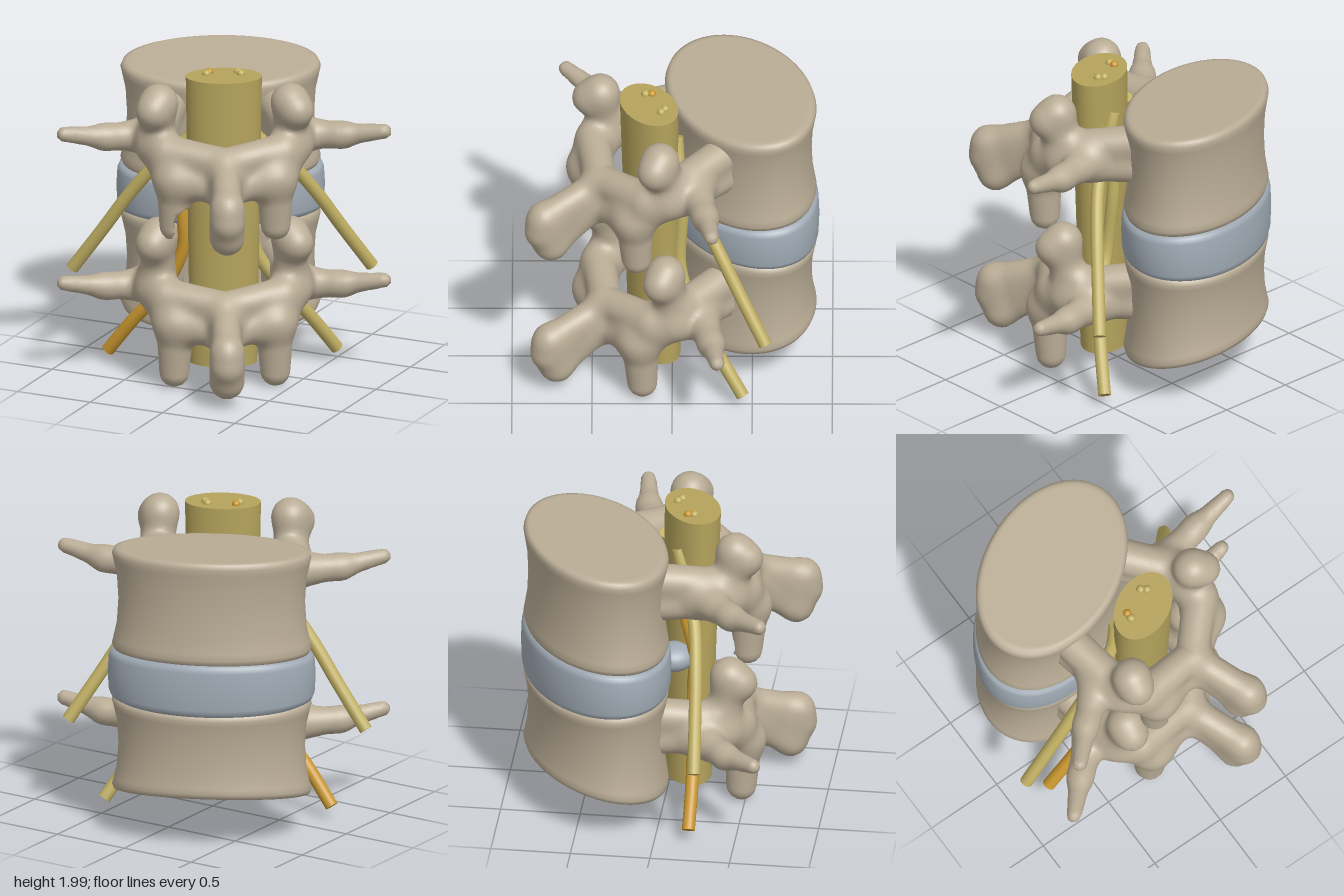
import * as THREE from 'three';
import { mergeVertices, mergeGeometries } from 'three/addons/utils/BufferGeometryUtils.js';

const material = (name, color) => {
  const m = new THREE.MeshStandardMaterial({ color });
  m.name = name;
  return m;
};

function add(parent, name, geometry, mat) {
  const mesh = new THREE.Mesh(geometry, mat);
  mesh.name = name;
  parent.add(mesh);
  return mesh;
}

// Distance to one tapering limb [x, y, z, radius, x, y, z, radius].
function limbDistance([ax, ay, az, ar, bx, by, bz, br], x, y, z) {
  const ex = bx - ax, ey = by - ay, ez = bz - az;
  const px = x - ax, py = y - ay, pz = z - az;
  const t = Math.min(1, Math.max(0, (px * ex + py * ey + pz * ez) / (ex * ex + ey * ey + ez * ez)));
  return Math.hypot(px - ex * t, py - ey * t, pz - ez * t) - ar - (br - ar) * t;
}

// Limbs mirrored in x that melt together, with one-sided cuts taken out.
function boneDistance(limbs, cuts, x, y, z) {
  const k = 0.07;
  let d = 9;
  for (const limb of limbs) {
    const e = limbDistance(limb, Math.abs(x), y, z);
    const h = Math.max(k - Math.abs(d - e), 0) / k;
    d = Math.min(d, e) - h * h * k / 4;
  }
  for (const cut of cuts) d = Math.max(d, -limbDistance(cut, x, y, z));
  return d;
}

// Skins a distance function with quads, one vertex per crossed grid cell.
function skin(field, min, max, step) {
  const n = min.map((v, i) => Math.ceil((max[i] - v) / step) + 1);
  const stride = [1, n[0], n[0] * n[1]];
  const values = new Float32Array(n[0] * n[1] * n[2]);
  const cells = new Int32Array(values.length).fill(-1);
  const positions = [], normals = [], index = [];
  const each = (from, fn) => {
    for (let k = from; k < n[2] - 1; k++)
      for (let j = from; j < n[1] - 1; j++)
        for (let i = from; i < n[0] - 1; i++) fn([i, j, k], i + j * stride[1] + k * stride[2]);
  };
  for (let q = 0; q < values.length; q++) {
    const i = q % n[0], j = Math.floor(q / n[0]) % n[1], k = Math.floor(q / stride[2]);
    values[q] = field(min[0] + i * step, min[1] + j * step, min[2] + k * step);
  }
  each(0, (cell, q) => {
    const sum = [0, 0, 0];
    let count = 0;
    for (let c = 0; c < 8; c++) {
      const o = [c & 1, (c >> 1) & 1, c >> 2];
      const corner = q + o[0] + o[1] * stride[1] + o[2] * stride[2];
      const a = values[corner];
      for (let axis = 0; axis < 3; axis++) {
        if (o[axis]) continue;
        const b = values[corner + stride[axis]];
        if ((a < 0) === (b < 0)) continue;
        o.forEach((v, m) => { sum[m] += v + (m === axis ? a / (a - b) : 0); });
        count++;
      }
    }
    if (!count) return;
    cells[q] = positions.length / 3;
    const p = cell.map((v, m) => min[m] + (v + sum[m] / count) * step);
    const e = 0.008;
    const g = [0, 1, 2].map((m) => {
      const hi = p.slice(), lo = p.slice();
      hi[m] += e;
      lo[m] -= e;
      return field(...hi) - field(...lo);
    });
    const l = Math.hypot(...g) || 1;
    positions.push(...p);
    normals.push(...g.map((v) => v / l));
  });
  each(1, (cell, q) => {
    for (let a = 0; a < 3; a++) {
      const inside = values[q] < 0;
      if (inside === (values[q + stride[a]] < 0)) continue;
      const sb = stride[(a + 1) % 3], sc = stride[(a + 2) % 3];
      const f = [q, q - sb, q - sb - sc, q - sc].map((c) => cells[c]);
      if (!inside) f.reverse();
      index.push(f[0], f[1], f[2], f[0], f[2], f[3]);
    }
  });
  const geometry = new THREE.BufferGeometry();
  geometry.setAttribute('position', new THREE.Float32BufferAttribute(positions, 3));
  geometry.setAttribute('normal', new THREE.Float32BufferAttribute(normals, 3));
  geometry.setIndex(index);
  return geometry;
}

// Oval drum whose end planes are given as [height, slope along z].
function drum(profile, a, b, bottom, top) {
  const points = profile.map(([r, t]) => new THREE.Vector2(r, t));
  let geometry = new THREE.LatheGeometry(points, 72);
  const p = geometry.attributes.position;
  for (let i = 0; i < p.count; i++) {
    const x = p.getX(i) * a, z = p.getZ(i) * b, t = p.getY(i);
    const lo = bottom[0] + bottom[1] * z, hi = top[0] + top[1] * z;
    p.setXYZ(i, x, lo + (hi - lo) * t, z - 0.505);
  }
  geometry.deleteAttribute('uv');
  geometry.deleteAttribute('normal');
  geometry = mergeVertices(geometry, 1e-5);
  geometry.computeVertexNormals();
  return geometry;
}

// Round strand along a smooth path with both ends closed.
function strand(points, radius) {
  const curve = new THREE.CatmullRomCurve3(points.map((p) => new THREE.Vector3(...p)));
  const caps = [0, 1].map((t) => {
    const cap = new THREE.CircleGeometry(radius, 14);
    const out = curve.getTangent(t).multiplyScalar(t ? 1 : -1);
    cap.applyQuaternion(new THREE.Quaternion().setFromUnitVectors(new THREE.Vector3(0, 0, 1), out));
    return cap.translate(...curve.getPoint(t).toArray());
  });
  return mergeGeometries([new THREE.TubeGeometry(curve, 40, radius, 14), ...caps]);
}

export function createModel() {
  const model = new THREE.Group();
  model.name = 'spineSegment';
  const bone = material('bone', 0xbaad96);
  const discBlue = material('disc', 0xa1abb5);
  const cordYellow = material('cord', 0xb5a35c);
  const nerveYellow = material('nerve', 0xbfae62);
  const nerveOrange = material('irritatedNerve', 0xc8962f);

  // Everything is built upright and symmetric, then turned on the base.
  const spine = new THREE.Group();
  spine.name = 'spine';
  spine.rotation.y = 0.474;
  spine.position.set(-0.045, 0, 0.023);
  model.add(spine);

  // Vertebrae: waisted body plus a blended arch with its wings and joints
  const bodyProfile = [[0, 0], [0.9, 0], [0.94, 0.003], [0.98, 0.015], [1, 0.06], [0.985, 0.12], [0.95, 0.27],
    [0.935, 0.5], [0.95, 0.73], [0.985, 0.88], [1, 0.94], [0.98, 0.985], [0.94, 0.997], [0.9, 1], [0, 1]];
  const vertebrae = [
    { name: 'upper', dy: 0, dz: 0, facet: 1.838, wing: 1.62, foot: 1.07, bottom: [1.2, -0.06], top: [1.87, -0.08],
      cuts: [[-0.22, 1.1, 0.6, 0.1, -0.22, 1.1, 0.2, 0.1], [-0.22, 1.0, 0.6, 0.1, -0.22, 1.0, 0.2, 0.1]] },
    { name: 'lower', dy: -0.955, dz: -0.04, facet: 0.953, wing: 0.63, foot: 0.1, bottom: [0.27, -0.2], top: [0.91, 0.03],
      cuts: [] },
  ];
  for (const v of vertebrae) {
    add(spine, v.name + 'VertebralBody', drum(bodyProfile, 0.625, 0.425, v.bottom, v.top), bone);
    const y = v.dy, f = v.facet, w = v.wing;
    const limbs = [
      [0.32, 1.68 + y, -0.22, 0.11, 0.42, 1.63 + y, 0.14, 0.11], // pedicle
      [0.32, 1.52 + y, -0.22, 0.11, 0.42, 1.52 + y, 0.14, 0.11],
      [0.46, w - 0.06, 0.05, 0.12, 0.74, w - 0.05, 0.12, 0.072], // side wing
      [0.74, w - 0.05, 0.12, 0.072, 1.0, w, 0.21, 0.048],
      [0.41, f, 0.27, 0.105, 0.42, 1.56 + y, 0.22, 0.11], // upper joint
      [0.41, f, 0.27, 0.105, 0.45, f - 0.04, 0.33, 0.105],
      [0.42, 1.54 + y, 0.24, 0.12, 0.31, 1.38 + y, 0.4, 0.12],
      [0.31, 1.38 + y, 0.4, 0.12, 0.315, v.foot, 0.385, 0.095], // lower joint
      [0.36, 1.54 + y, 0.35, 0.11, 0, 1.5 + y, 0.48, 0.1], // lamina
      [0.31, 1.38 + y, 0.4, 0.11, 0, 1.34 + y, 0.5, 0.1],
      [0, 1.47 + y, 0.5, 0.09, 0, 1.35 + y, 0.87, 0.085], // spine blade
      [0, 1.38 + y, 0.5, 0.085, 0, 1.24 + y, 0.9, 0.095],
      [0, 1.31 + y, 0.52, 0.085, 0, 1.125 + y, 0.82, 0.09],
      [0, 1.33 + y, 0.88, 0.09, 0, 1.13 + y, 0.83, 0.095],
    ];
    const geometry = skin((a, b, c) => boneDistance(limbs, v.cuts, a, b, c),
      [-1.12, 0.9 + y, -0.46], [1.12, 2.06 + y, 1.08], 0.026);
    add(spine, v.name + 'VertebralArch', geometry, bone).position.z = v.dz;
  }

  // Disc with a bulge towards one nerve root
  const discProfile = [[0, 0], [0.93, 0], [0.98, 0.05], [1, 0.15], [1.01, 0.5], [1, 0.85], [0.98, 0.95], [0.93, 1], [0, 1]];
  add(spine, 'disc', drum(discProfile, 0.645, 0.435, [0.9, 0.03], [1.21, -0.06]), discBlue);
  const bulge = add(spine, 'discBulge', new THREE.SphereGeometry(1, 32, 20), discBlue);
  bulge.scale.set(0.12, 0.09, 0.14);
  bulge.position.set(-0.17, 1.02, -0.05);

  // Cord: oval column, slightly narrower at the foot
  const cord = new THREE.CylinderGeometry(1, 0.88, 1.88, 48);
  cord.scale(0.238, 1, 0.165).translate(0, 1.03, 0.138);
  const p = cord.attributes.position;
  for (let i = 0; i < p.count; i++) p.setZ(i, p.getZ(i) - 0.04 * (1.97 - p.getY(i)) / 1.88);
  add(spine, 'cord', cord, cordYellow);

  for (const s of [-1, 1]) {
    const side = s > 0 ? 'left' : 'right';
    const mirror = (points) => points.map(([x, y, z]) => [s * x, y, z]);

    // Nerves leaving under each pedicle
    add(spine, side + 'UpperNerve', strand(mirror([[0.11, 1.75, 0.0], [0.2, 1.55, 0.02], [0.4, 1.37, 0],
      [0.59, 1.13, -0.06], [0.74, 0.9, -0.12], [0.935, 0.61, -0.2]]), 0.041), nerveYellow);
    const root = s < 0 ? [[0.11, 1.6, 0.0], [0.2, 1.3, 0.02], [0.25, 1.05, 0.06], [0.25, 0.82, 0.05]]
      : [[0.11, 1.6, 0.0], [0.16, 1.2, -0.01], [0.2, 0.8, 0.02]];
    add(spine, side + 'LowerNerve', strand(mirror([...root, [0.38, 0.53, 0], [0.55, 0.32, -0.07],
      [0.715, 0.085, -0.155]]), 0.041), s < 0 ? nerveOrange : nerveYellow);

    // Root ends standing out of the cord's top
    [[0.09, 0.072], [0.108, 0.108]].forEach(([x, z], i) => {
      const end = new THREE.CapsuleGeometry(0.027, 0.06, 6, 14);
      end.translate(s * x, 1.943, z);
      add(spine, side + 'RootEnd' + (i + 1), end, s < 0 && i === 0 ? nerveOrange : nerveYellow);
    });
  }
  return model;
}
